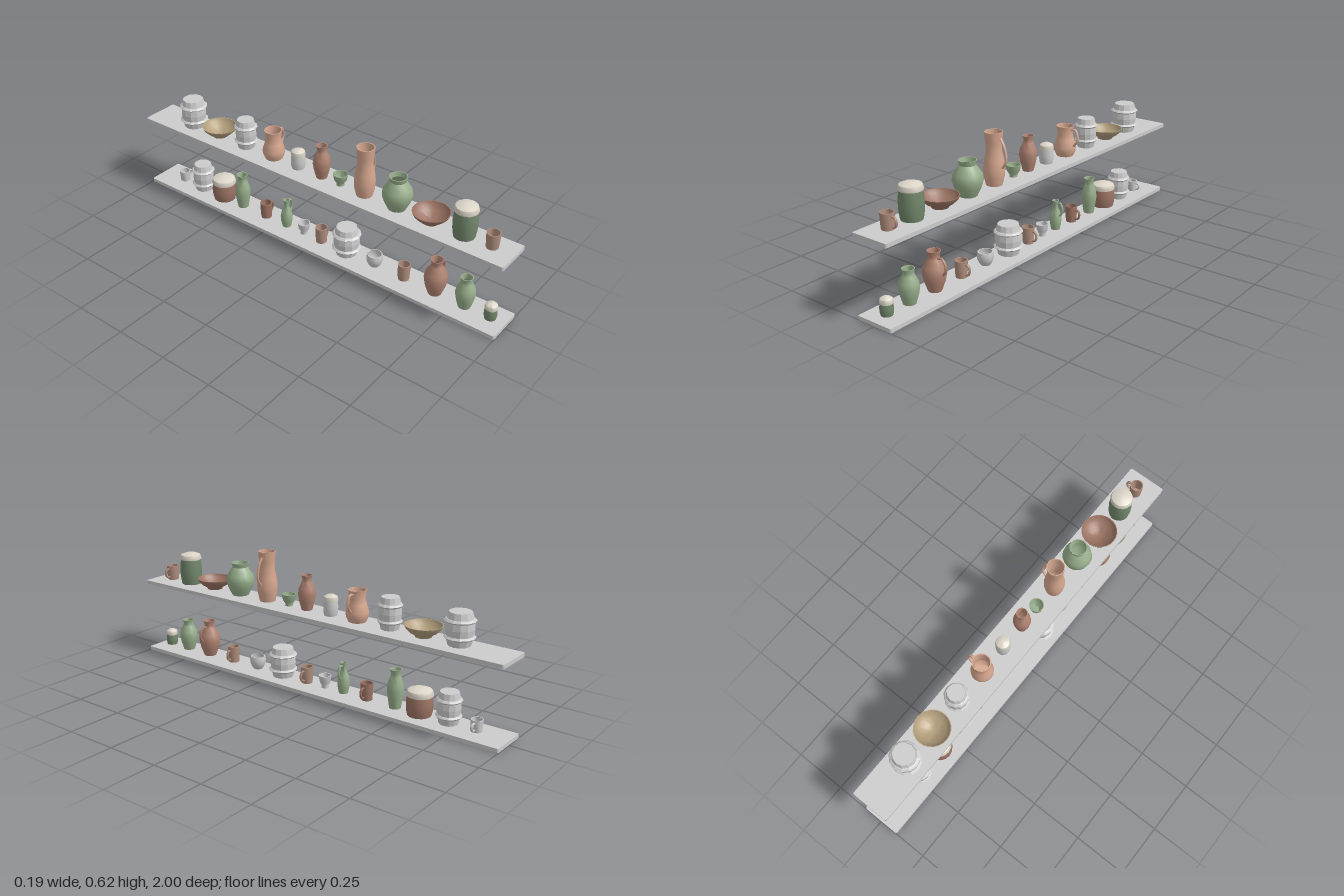
import * as THREE from 'three';
import { toCreasedNormals } from 'three/addons/utils/BufferGeometryUtils.js';

const COLORS = {
  grey: 0xcccccc, clay: 0xb08472, pink: 0xd6a78f, tan: 0xb39f7c,
  brown: 0x9c7464, mug: 0xaf8d7c, green: 0x97ae8b, moss: 0x72886b, cream: 0xdcd6c8,
};
const materials = {};
for (const key in COLORS) {
  materials[key] = new THREE.MeshStandardMaterial({ color: COLORS[key], side: THREE.DoubleSide });
}
const staveMaterial = new THREE.MeshStandardMaterial({ color: 0xcccccc, flatShading: true });

function mesh(name, geometry, material) {
  const m = new THREE.Mesh(geometry, material);
  m.name = name;
  return m;
}

function lathe(points, sides) {
  const geometry = new THREE.LatheGeometry(points.map(([r, y]) => new THREE.Vector2(r, y)), sides);
  return toCreasedNormals(geometry, 0.8);
}

// Open pot: outer profile, rim, then the same profile back down inside
function vessel(name, color, profile, handlePoints, sides = 16) {
  const group = new THREE.Group();
  group.name = name;
  const wall = 0.004;
  const inner = profile.map(([r, y], i) => [r - wall, i === 0 ? y + 0.006 : y]).reverse();
  group.add(mesh('body', lathe([[0, 0], ...profile, ...inner, [0, 0.006]], sides), materials[color]));
  if (handlePoints) {
    const curve = new THREE.CatmullRomCurve3(handlePoints.map(([x, y]) => new THREE.Vector3(x, y, 0)));
    const strap = new THREE.TubeGeometry(curve, 10, 0.005, 6);
    strap.scale(1, 1, 1.4);
    group.add(mesh('handle', strap, materials[color]));
  }
  return group;
}

// Closed jar with a domed cover
function jar(name, color, r, bodyHeight, lidHeight) {
  const group = new THREE.Group();
  group.name = name;
  const h = bodyHeight;
  group.add(mesh('body', lathe([[0, 0], [r * 0.88, 0], [r * 0.97, h * 0.25], [r, h * 0.6],
    [r * 0.92, h], [0, h]], 16), materials[color]));
  const lid = mesh('lid', lathe([[0, 0], [r * 0.98, 0], [r, lidHeight * 0.2],
    [r * 0.9, lidHeight * 0.65], [r * 0.5, lidHeight * 0.9], [0, lidHeight]], 16), materials.cream);
  lid.position.y = h;
  group.add(lid);
  return group;
}

// Faceted barrel with two sharp hoops
function barrel(name, r) {
  const group = new THREE.Group();
  group.name = name;
  const h = 0.143;
  const v = (x, y) => new THREE.Vector2(x, y);
  const staves = new THREE.LatheGeometry([v(0, 0), v(r * 0.8, 0), v(r * 0.95, h * 0.25), v(r, h * 0.5),
    v(r * 0.95, h * 0.75), v(r * 0.8, h), v(0, h)], 12);
  group.add(mesh('staves', staves, staveMaterial));
  for (const k of [0.25, 0.75]) {
    const y = h * k;
    const hoop = new THREE.LatheGeometry([v(r * 0.9, y - 0.009), v(r * 0.99, y - 0.007),
      v(r * 1.12, y), v(r * 0.99, y + 0.007), v(r * 0.9, y + 0.009)], 12);
    group.add(mesh('hoop', hoop, staveMaterial));
  }
  return group;
}

const mug = (name, color, r, h) => vessel(name, color,
  [[r * 0.88, 0], [r * 0.95, h * 0.4], [r, h]],
  [[r * 0.9, h * 0.78], [r * 1.4, h * 0.76], [r * 1.65, h * 0.5], [r * 1.4, h * 0.24], [r * 0.88, h * 0.2]]);

const cup = (name, color, r, h) => vessel(name, color,
  [[r * 0.55, 0], [r * 0.8, h * 0.2], [r * 0.98, h * 0.5], [r, h * 0.75], [r * 0.92, h]]);

const footedCup = (name, color, r, h) => vessel(name, color,
  [[r * 0.55, 0], [r * 0.5, h * 0.15], [r * 0.85, h * 0.5], [r, h]]);

const bowl = (name, color) => vessel(name, color,
  [[0.036, 0], [0.04, 0.009], [0.06, 0.021], [0.077, 0.038], [0.083, 0.052]], null, 24);

// Vase given by base, belly, neck and rim radii
const vase = (name, color, h, base, belly, neck, rim, handlePoints) => vessel(name, color,
  [[base, 0], [belly * 0.86, h * 0.24], [belly, h * 0.45], [belly * 0.92, h * 0.62],
    [neck * 1.2, h * 0.8], [neck, h * 0.87], [rim, h]], handlePoints);

// Bevelled plank
function shelf(name) {
  const w = 0.0925, h = 0.028, b = 0.005;
  const shape = new THREE.Shape();
  shape.moveTo(-w + b, b).lineTo(w - b, b).lineTo(w - b, h - b).lineTo(-w + b, h - b).closePath();
  const geometry = new THREE.ExtrudeGeometry(shape, {
    depth: 2 - 2 * b, bevelEnabled: true, bevelThickness: b, bevelSize: b, bevelSegments: 1,
  });
  geometry.translate(0, 0, -1 + b);
  // Chamfer the long edges by pulling the outer corners in
  const p = geometry.attributes.position;
  for (let i = 0; i < p.count; i++) {
    if (Math.abs(p.getX(i)) > w - b / 2) p.setY(i, p.getY(i) < h / 2 ? b : h - b);
  }
  geometry.computeVertexNormals();
  return mesh(name, toCreasedNormals(geometry, 0.3), materials.grey);
}

export function createModel() {
  const model = new THREE.Group();
  model.name = 'potteryShelves';

  const upper = [
    [0.9, mug('mug', 'mug', 0.03, 0.071)],
    [0.77, jar('tallJar', 'moss', 0.053, 0.124, 0.034)],
    [0.61, bowl('bowl', 'brown')],
    [0.44, vase('roundVase', 'green', 0.157, 0.04, 0.068, 0.036, 0.041)],
    [0.27, vessel('tallPitcher', 'pink',
      [[0.037, 0], [0.046, 0.04], [0.048, 0.075], [0.043, 0.115], [0.035, 0.155], [0.037, 0.19], [0.041, 0.238]],
      [[0.037, 0.213], [0.055, 0.185], [0.067, 0.14], [0.066, 0.11], [0.046, 0.083]])],
    [0.14, footedCup('footedCup', 'green', 0.034, 0.055)],
    [0.035, vase('slimVase', 'clay', 0.163, 0.025, 0.041, 0.02, 0.026)],
    [-0.1, jar('smallJar', 'grey', 0.034, 0.066, 0.032)],
    [-0.245, vessel('pitcher', 'pink',
      [[0.04, 0], [0.051, 0.025], [0.052, 0.045], [0.042, 0.08], [0.035, 0.105], [0.042, 0.144]],
      [[0.036, 0.128], [0.058, 0.13], [0.07, 0.105], [0.071, 0.08], [0.047, 0.05]])],
    [-0.415, barrel('smallBarrel', 0.05)],
    [-0.583, bowl('wideBowl', 'tan')],
    [-0.753, barrel('barrel', 0.061)],
  ];

  const lower = [
    [0.93, jar('littleJar', 'moss', 0.029, 0.052, 0.03)],
    [0.805, vase('vase', 'green', 0.155, 0.028, 0.045, 0.023, 0.028)],
    [0.657, vase('pitcher', 'clay', 0.18, 0.03, 0.053, 0.023, 0.03,
      [[0.024, 0.15], [0.045, 0.152], [0.065, 0.125], [0.064, 0.1], [0.048, 0.08]])],
    [0.495, mug('mug', 'mug', 0.029, 0.079)],
    [0.338, cup('cup', 'grey', 0.038, 0.063)],
    [0.18, barrel('barrel', 0.061)],
    [0.035, mug('mug', 'mug', 0.029, 0.079)],
    [-0.07, footedCup('footedCup', 'grey', 0.03, 0.06)],
    [-0.175, vessel('jug', 'green',
      [[0.021, 0], [0.027, 0.03], [0.029, 0.055], [0.023, 0.085], [0.012, 0.108], [0.012, 0.125], [0.017, 0.146]],
      [[0.012, 0.132], [0.03, 0.134], [0.039, 0.11], [0.036, 0.085], [0.024, 0.073]])],
    [-0.303, mug('mug', 'brown', 0.029, 0.079)],
    [-0.453, vase('tallVase', 'green', 0.18, 0.026, 0.038, 0.02, 0.027)],
    [-0.577, jar('wideJar', 'brown', 0.06, 0.09, 0.036)],
    [-0.72, barrel('smallBarrel', 0.052)],
    [-0.853, mug('smallMug', 'grey', 0.027, 0.053)],
  ];

  for (const [name, y, items] of [['lowerShelf', 0, lower], ['upperShelf', 0.355, upper]]) {
    const group = new THREE.Group();
    group.name = name;
    group.position.y = y;
    group.add(shelf('plank'));
    for (const [z, item] of items) {
      item.position.set(0, 0.028, z);
      group.add(item);
    }
    model.add(group);
  }
  return model;
}
